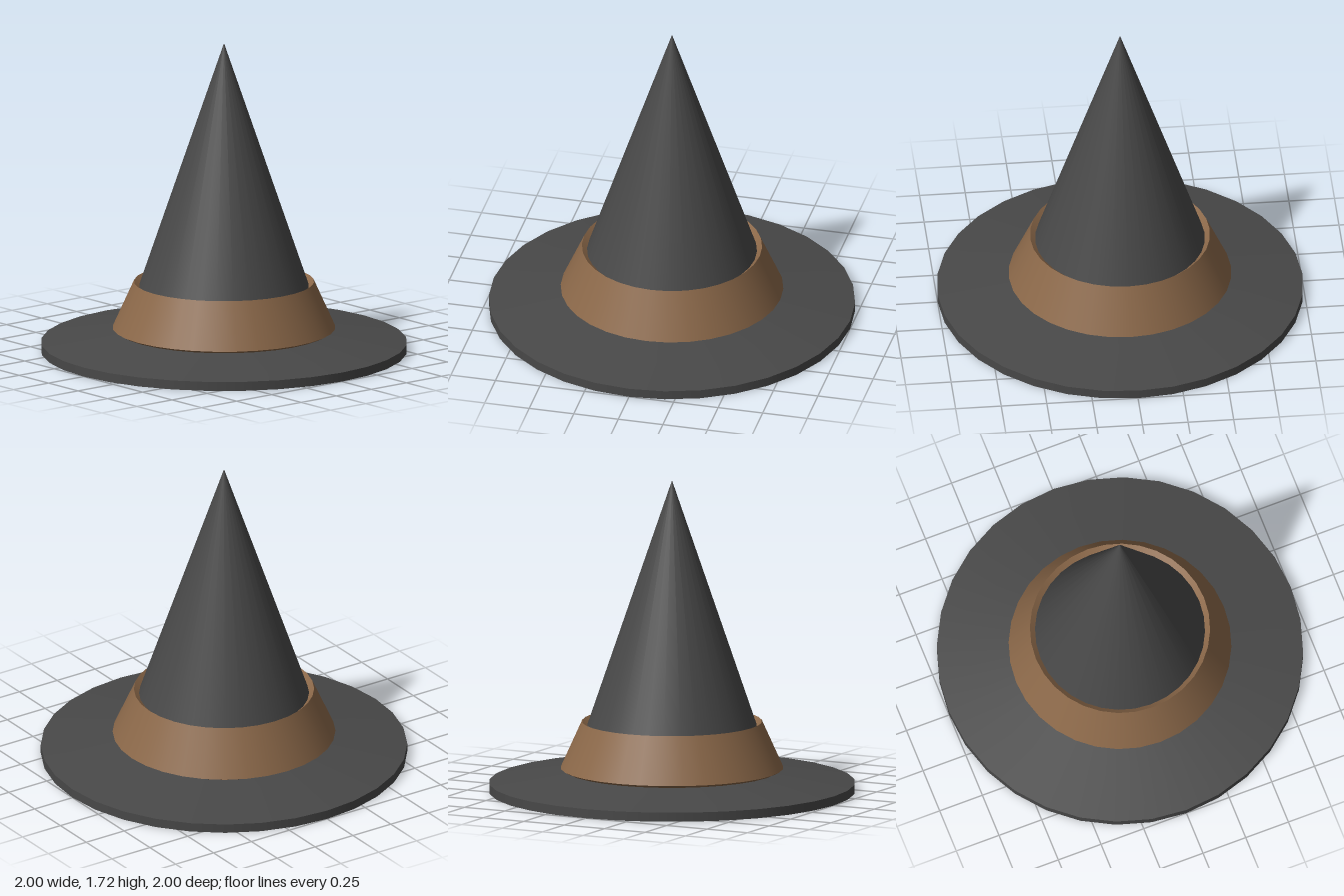
import * as THREE from 'three';
import { mergeGeometries } from 'three/addons/utils/BufferGeometryUtils.js';

const SIDES = 32;

// Revolve a profile of [radius, y] points, keeping every profile corner sharp
// while the surface stays smooth around the axis.
function revolve(name, profile, color) {
  const bands = [];
  for (let i = 0; i < profile.length - 1; i++) {
    const pair = [profile[i], profile[i + 1]].map(([r, y]) => new THREE.Vector2(r, y));
    bands.push(new THREE.LatheGeometry(pair, SIDES));
  }
  const material = new THREE.MeshStandardMaterial({ color, side: THREE.DoubleSide });
  const mesh = new THREE.Mesh(mergeGeometries(bands), material);
  mesh.name = name;
  return mesh;
}

export function createModel() {
  const felt = 0x484848;
  const leather = 0x8b6849;
  const hat = new THREE.Group();
  hat.name = 'pointedHat';

  // Wide brim: dished underside, upright rim, gently sloping top
  hat.add(revolve('brim', [[0.53, 0.114], [1, 0], [1, 0.05], [0.53, 0.124]], felt));

  // Tall open cone, smooth up to the tip
  hat.add(revolve('crown', [[0.464, 0.362], [0.003, 1.711], [0, 1.72]], felt));

  // Inner wall joining the head opening to the cone, with a small step on top
  hat.add(revolve('innerWall', [[0.53, 0.114], [0.472, 0.345], [0.464, 0.362]], felt));

  // Flared hat band with a tucked lower edge and a funnel-shaped lip
  hat.add(revolve('band', [[0.535, 0.123], [0.58, 0.116], [0.608, 0.13], [0.492, 0.387], [0.464, 0.362]], leather));

  return hat;
}
